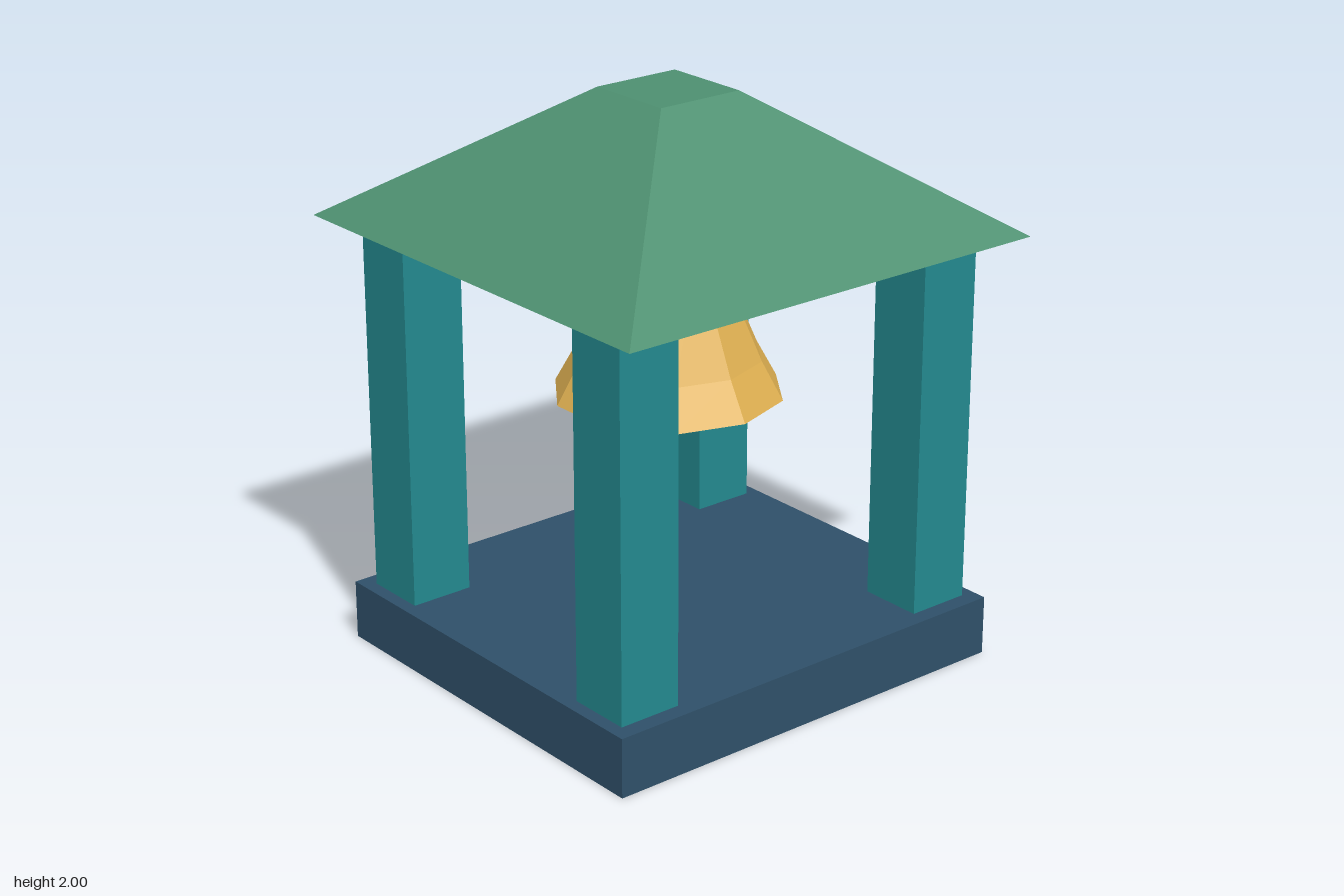
import * as THREE from 'three';

function mat(name, color) {
  const m = new THREE.MeshStandardMaterial({ color });
  m.name = name;
  return m;
}

export function createModel() {
  const model = new THREE.Group();
  model.name = 'bellPavilion';

  const navy = mat('navy stone', 0x2f5069);
  const teal = mat('teal paint', 0x23898f);
  const green = mat('green roof', 0x4e9071);
  const gold = mat('golden bronze', 0xe0b152);

  const add = (name, geometry, material, x, y, z, parent = model) => {
    // Unshared vertices give every facet its own flat normal
    const flat = geometry.index ? geometry.toNonIndexed() : geometry;
    flat.computeVertexNormals();
    const mesh = new THREE.Mesh(flat, material);
    mesh.name = name;
    mesh.position.set(x, y, z);
    parent.add(mesh);
    return mesh;
  };

  // Plinth
  add('base', new THREE.BoxGeometry(1.595, 0.21, 1.48), navy, 0, 0.105, 0);

  // Four corner posts, let into the plinth
  const postBottom = 0.005, postTop = 1.535;
  for (const sx of [-1, 1]) {
    for (const sz of [-1, 1]) {
      const name = (sz > 0 ? 'front' : 'back') + (sx > 0 ? 'Left' : 'Right') + 'Post';
      add(name, new THREE.BoxGeometry(0.23, postTop - postBottom, 0.23), teal,
        sx * 0.635, (postTop + postBottom) / 2, sz * 0.565);
    }
  }

  // Truncated pyramid roof
  const roofBottom = 1.533, roofTop = 2;
  add('roof', new THREE.CylinderGeometry(0.163 * Math.SQRT2, 0.838 * Math.SQRT2,
    roofTop - roofBottom, 4, 1, false, Math.PI / 4), green, 0, (roofTop + roofBottom) / 2, 0);

  // Ten-sided bell with a flared lip
  const bell = new THREE.Group();
  bell.name = 'bell';
  model.add(bell);
  add('bellBody', new THREE.CylinderGeometry(0.158, 0.322, 0.38, 10), gold, 0, 1.275, 0, bell);
  add('bellLip', new THREE.CylinderGeometry(0.322, 0.395, 0.133, 10), gold, 0, 1.0185, 0, bell);

  // Faceted clapper, turned so a vertex points straight down
  const clapper = new THREE.IcosahedronGeometry(0.095, 1);
  clapper.rotateX(-1.0172);
  clapper.rotateY(Math.PI / 2);
  add('clapper', clapper, gold, 0, 0.905, 0, bell);

  return model;
}
